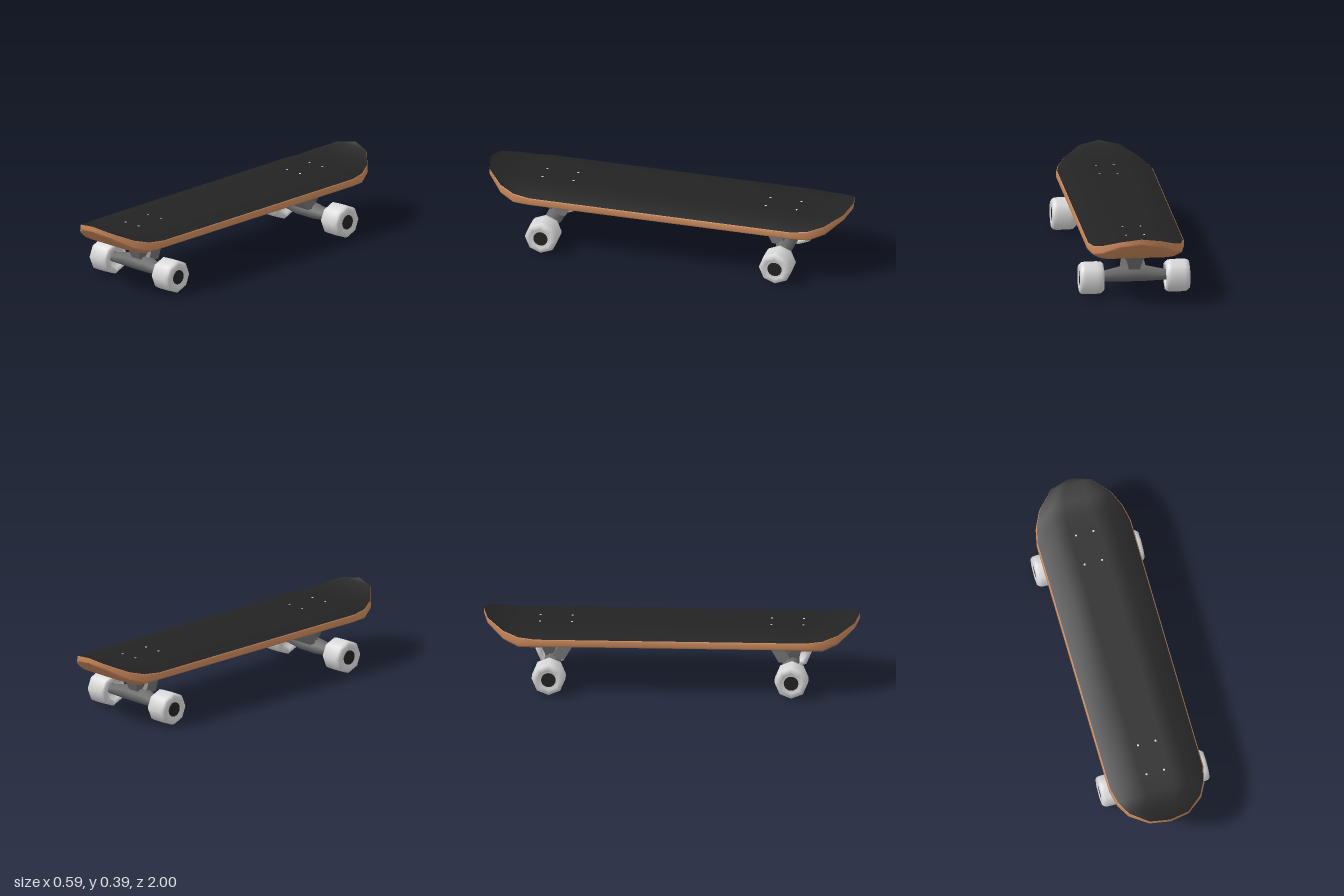
import * as THREE from 'three';
import { mergeVertices, toCreasedNormals } from 'three/addons/utils/BufferGeometryUtils.js';

const material = (name, color) => Object.assign(new THREE.MeshStandardMaterial({ color }), { name });

// Smooth surface through rows of points
function loft(rows) {
  const n = rows[0].length, index = [];
  for (let i = 0; i < rows.length - 1; i++) {
    for (let j = 0; j < n - 1; j++) {
      const a = i * n + j, b = a + n;
      index.push(a, b, a + 1, b, b + 1, a + 1);
    }
  }
  const geo = new THREE.BufferGeometry();
  geo.setAttribute('position', new THREE.Float32BufferAttribute(rows.flat(2), 3));
  geo.setIndex(index);
  const merged = mergeVertices(geo);
  merged.computeVertexNormals();
  return merged;
}

// Box whose top and bottom differ: [half width, y, z min, z max]
function taperedBlock(top, bottom) {
  const geo = new THREE.BoxGeometry(2, 2, 2);
  const p = geo.attributes.position;
  for (let i = 0; i < p.count; i++) {
    const [hw, y, z0, z1] = p.getY(i) > 0 ? top : bottom;
    p.setXYZ(i, p.getX(i) * hw, y, p.getZ(i) > 0 ? z1 : z0);
  }
  geo.computeVertexNormals();
  return geo;
}

export function createModel() {
  const wood = material('wood', 0xc8875a);
  const grip = material('gripBlack', 0x232323);
  const metal = material('truckGrey', 0x6c6c6c);
  const white = material('wheelWhite', 0xd8d8d8);

  const model = new THREE.Group();
  model.name = 'skateboard';
  const add = (parent, name, geo, mat) => {
    const mesh = new THREE.Mesh(geo, mat);
    mesh.name = name;
    parent.add(mesh);
    return mesh;
  };

  // Deck stations: z, half width, edge top, edge bottom, crown, belly
  const half = [
    [0.3, 0.26, 0.305, 0.27, 0.333, 0.252],
    [0.55, 0.26, 0.305, 0.27, 0.333, 0.25],
    [0.72, 0.26, 0.305, 0.27, 0.333, 0.24],
    [0.81, 0.24, 0.31, 0.265, 0.333, 0.236],
    [0.89, 0.2, 0.331, 0.29, 0.339, 0.267],
    [0.975, 0.11, 0.371, 0.345, 0.372, 0.335],
    [1, 0, 0.39, 0.365, 0.39, 0.365],
  ];
  const stations = [...half.map(([z, ...r]) => [-z, ...r]).reverse(), ...half];

  // Wooden rim, sides and underside
  add(model, 'deck', loft(stations.map(([z, w, et, eb, , b]) => {
    const right = [[0.97, et], [0.995, et - 0.004], [1, eb + 0.004], [0.98, eb - 0.004],
      [0.82, b + 0.2 * (eb - b)], [0.65, b]];
    const left = right.map(([u, y]) => [-u, y]).reverse();
    return [...right, [0, b], ...left].map(([u, y]) => [u * w, y, z]);
  })), wood);

  // Grip surface on top
  add(model, 'gripTape', loft(stations.map(([z, w, et, , c]) =>
    [[-0.975, et], [-0.62, c], [-0.3, c], [0, c], [0.3, c], [0.62, c], [0.975, et]]
      .map(([u, y]) => [u * w, y + 0.0005, z]))), grip);

  // Wheel profile, with a recess on the inner side
  const wheelGeo = new THREE.LatheGeometry([
    [0, -0.03], [0.048, -0.03], [0.054, -0.063], [0.076, -0.065], [0.087, -0.053], [0.09, -0.03],
    [0.09, 0.035], [0.087, 0.053], [0.076, 0.064], [0.056, 0.065], [0.046, 0.056], [0, 0.056],
  ].map(([r, y]) => new THREE.Vector2(r, y)), 8);
  const hubGeo = new THREE.CylinderGeometry(0.039, 0.039, 0.006, 16);
  const boltGeo = new THREE.CylinderGeometry(0.006, 0.006, 0.003, 8);

  // Hanger cross-sections: x, centre y, y radius, z radius, z shift
  const hangerGeo = loft([
    [-0.21, 0.097, 0.026, 0.027, 0], [-0.165, 0.097, 0.027, 0.028, 0], [-0.06, 0.104, 0.04, 0.043, -0.012],
    [0.06, 0.104, 0.04, 0.043, -0.012], [0.165, 0.097, 0.027, 0.028, 0], [0.21, 0.097, 0.026, 0.027, 0],
  ].map(([x, cy, ry, rz, dz]) => Array.from({ length: 9 }, (_, k) => {
    const a = ((k % 8) + 0.5) * Math.PI / 4;
    return [x, cy + ry * Math.sin(a) * 1.06, 0.645 + dz + rz * Math.cos(a) * -1.06];
  })));
  hangerGeo.index.array.reverse();
  hangerGeo.computeVertexNormals();
  // Keep the outside facing out whichever way the sections wind
  const n = hangerGeo.attributes.normal, p = hangerGeo.attributes.position;
  let facing = 0;
  for (let i = 0; i < p.count; i++) facing += n.getY(i) * (p.getY(i) - 0.1);
  if (facing < 0) {
    hangerGeo.index.array.reverse();
    hangerGeo.computeVertexNormals();
  }

  for (const end of ['front', 'back']) {
    const truck = new THREE.Group();
    truck.name = end + 'Truck';
    if (end === 'back') truck.rotation.y = Math.PI;
    model.add(truck);

    add(truck, 'basePlate', taperedBlock([0.08, 0.256, 0.49, 0.71], [0.074, 0.218, 0.5, 0.705]), metal);
    add(truck, 'pivotLeg', taperedBlock([0.05, 0.222, 0.64, 0.705], [0.03, 0.135, 0.61, 0.67]), metal);
    add(truck, 'pivotCollar', taperedBlock([0.072, 0.22, 0.64, 0.705], [0.044, 0.192, 0.632, 0.692]), metal);
    add(truck, 'kingpinLeg', taperedBlock([0.045, 0.222, 0.51, 0.58], [0.068, 0.125, 0.57, 0.645]), metal);
    add(truck, 'hanger', toCreasedNormals(hangerGeo, 0.9), metal);

    for (const side of [1, -1]) {
      const wheel = new THREE.Group();
      wheel.name = side > 0 ? 'leftWheel' : 'rightWheel';
      wheel.position.set(side * 0.23, 0.09, 0.645);
      wheel.rotation.z = -side * Math.PI / 2;
      add(wheel, 'tyre', wheelGeo, white);
      add(wheel, 'hub', hubGeo, grip).position.y = 0.057;
      truck.add(wheel);

      for (const z of [0.53, 0.7]) {
        add(truck, 'bolt', boltGeo, white).position.set(side * 0.048, 0.333, z);
      }
    }
  }
  return model;
}
